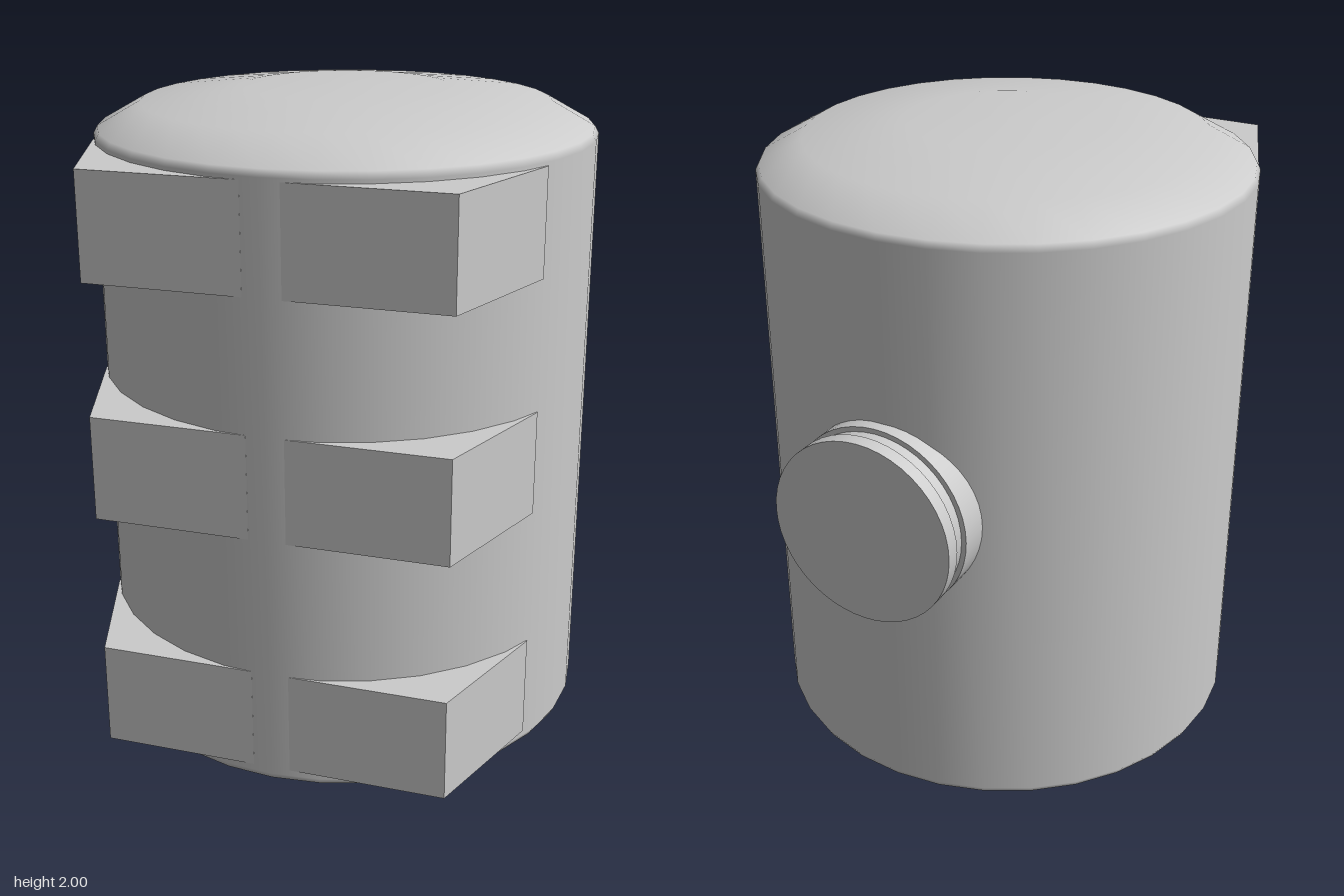
import * as THREE from 'three';

const material = new THREE.MeshStandardMaterial({ color: 0xcccccc });
const BODY_Z = 0.064;

function addMesh(parent, name, geometry) {
  const mesh = new THREE.Mesh(geometry, material);
  mesh.name = name;
  parent.add(mesh);
  return mesh;
}

// One support block: flat front, slanted outer side, back buried in the tank
function blockGeometry(side, height) {
  const outline = [[0.055, 0.795], [0.515, 0.795], [0.66, 0.39], [0.6, 0.35], [0.055, 0.65]];
  const shape = new THREE.Shape(outline.map(([x, z]) => new THREE.Vector2(side * x, z)));
  const geometry = new THREE.ExtrudeGeometry(shape, { depth: height, bevelEnabled: false });
  return geometry.rotateX(Math.PI / 2).translate(0, height, 0);
}

export function createModel() {
  const model = new THREE.Group();
  model.name = 'tank';

  // Upright cylindrical tank with shallow domed ends
  const profile = [
    [0, 0], [0.3, 0.004], [0.6, 0.037], [0.725, 0.1], [0.736, 0.12],
    [0.736, 1.87], [0.725, 1.89], [0.6, 1.96], [0.3, 1.998], [0, 2],
  ].map(([r, y]) => new THREE.Vector2(r, y));
  addMesh(model, 'tankBody', new THREE.LatheGeometry(profile, 32)).position.z = BODY_Z;

  // Three rows of paired support blocks on the front
  [0.138, 0.86, 1.552].forEach((y) => {
    for (const side of [-1, 1]) {
      const name = side > 0 ? 'leftSupportBlock' : 'rightSupportBlock';
      addMesh(model, name, blockGeometry(side, 0.308)).position.y = y;
    }
  });

  // Round port on the back: neck, groove and end cap
  const port = new THREE.Group();
  port.name = 'port';
  port.position.y = 1.06;
  model.add(port);
  const rings = [
    ['portNeck', 0.281, -0.55, -0.708],
    ['portGroove', 0.266, -0.7, -0.765],
    ['portCap', 0.281, -0.758, -0.802],
  ];
  for (const [name, radius, z0, z1] of rings) {
    const geometry = new THREE.CylinderGeometry(radius, radius, z0 - z1, 48);
    addMesh(port, name, geometry.rotateX(-Math.PI / 2)).position.z = (z0 + z1) / 2;
  }

  return model;
}
